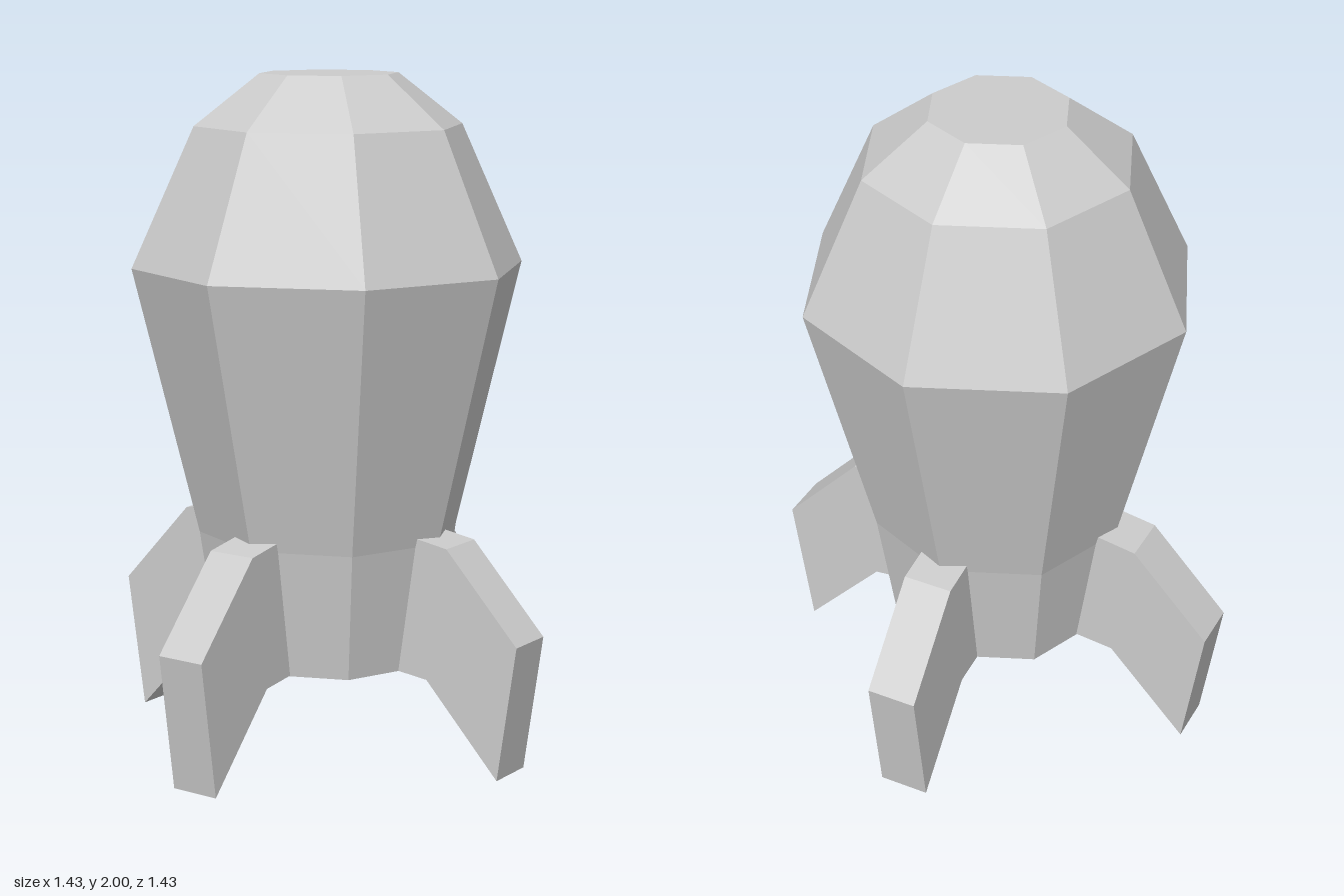
import * as THREE from 'three';

const material = new THREE.MeshStandardMaterial({ color: 0xcccccc, flatShading: true });

// Closed eight-sided hull; corners lie on the x and z axes
function makeHull() {
  const profile = [[0, 0.27], [0.333, 0.27], [0.39, 0.65], [0.582, 1.44], [0.397, 1.85], [0.205, 2], [0, 2]];
  const geometry = new THREE.LatheGeometry(profile.map(([r, y]) => new THREE.Vector2(r, y)), 8);
  const hull = new THREE.Mesh(geometry, material);
  hull.name = 'hull';
  hull.position.set(0.01, 0, -0.005);
  return hull;
}

// Swept-back slab whose root is buried in the hull
function makeFinGeometry() {
  const outline = [[0.27, 0.275], [0.41, 0.26], [0.653, 0], [0.713, 0.405], [0.475, 0.66], [0.35, 0.68], [0.27, 0.68]];
  const shape = new THREE.Shape(outline.map(([x, y]) => new THREE.Vector2(x, y)));
  const geometry = new THREE.ExtrudeGeometry(shape, { depth: 0.15, bevelEnabled: false });
  return geometry.translate(0, 0, -0.075);
}

export function createModel() {
  const model = new THREE.Group();
  model.name = 'rocket';
  model.add(makeHull());

  // Four fins, one every quarter turn
  const finGeometry = makeFinGeometry();
  ['leftFin', 'backFin', 'rightFin', 'frontFin'].forEach((name, i) => {
    const fin = new THREE.Mesh(finGeometry, material);
    fin.name = name;
    fin.rotation.y = i * Math.PI / 2;
    if (i % 2) fin.position.x = 0.01;
    else fin.position.z = -0.005;
    model.add(fin);
  });
  return model;
}
